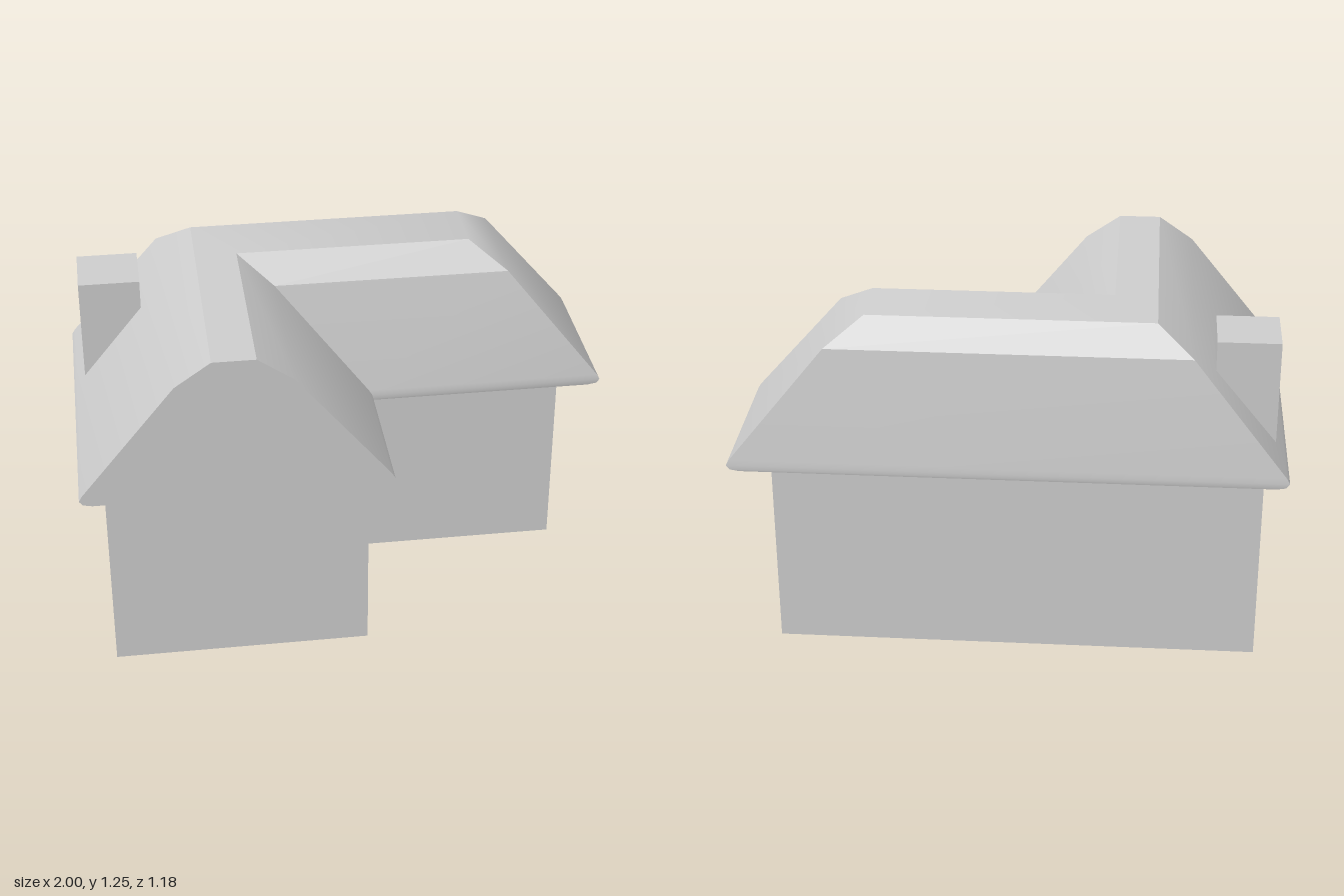
import * as THREE from 'three';
import { toCreasedNormals } from 'three/addons/utils/BufferGeometryUtils.js';

const plaster = new THREE.MeshStandardMaterial({ color: 0xcccccc });
plaster.name = 'plaster grey';

// L-shaped outline, counter-clockwise from above: front-left, front-right,
// inner corner, wing front, wing back, back-left
function outline(left, inner, right, front, valley, back) {
  return [[left, front], [inner, front], [inner, valley],
    [right, valley], [right, back], [left, back]]
    .map(([x, z]) => new THREE.Vector2(x, -z));
}

// Closed shell through a stack of outlines
function loft(rings) {
  const pos = [];
  const put = (ring, i) => pos.push(ring.pts[i].x, ring.y, -ring.pts[i].y);
  for (let r = 0; r < rings.length - 1; r++) {
    const lo = rings[r], hi = rings[r + 1], n = lo.pts.length;
    for (let i = 0; i < n; i++) {
      const j = (i + 1) % n;
      put(lo, i); put(lo, j); put(hi, j);
      put(lo, i); put(hi, j); put(hi, i);
    }
  }
  const first = rings[0], last = rings[rings.length - 1];
  for (const [a, b, c] of THREE.ShapeUtils.triangulateShape(first.pts, [])) {
    put(first, a); put(first, c); put(first, b);
  }
  for (const [a, b, c] of THREE.ShapeUtils.triangulateShape(last.pts, [])) {
    put(last, a); put(last, b); put(last, c);
  }
  const geo = new THREE.BufferGeometry();
  geo.setAttribute('position', new THREE.Float32BufferAttribute(pos, 3));
  return toCreasedNormals(geo, 0.6);
}

export function createModel() {
  const house = new THREE.Group();
  house.name = 'house';
  const add = (name, geo) => {
    const mesh = new THREE.Mesh(geo, plaster);
    mesh.name = name;
    house.add(mesh);
    return mesh;
  };

  // Walls
  const plan = new THREE.Shape(outline(-0.91, 0.025, 0.84, 0.575, 0, -0.575));
  const walls = new THREE.ExtrudeGeometry(plan, { depth: 0.7, bevelEnabled: false });
  walls.rotateX(-Math.PI / 2);
  add('walls', walls);

  // Roof: rounded eaves, steep slope, chamfer and flat ridge
  add('roof', loft([
    { y: 0.695, pts: outline(-0.955, 0.07, 0.955, 0.59, 0.027, -0.588) },
    { y: 0.702, pts: outline(-0.988, 0.104, 0.988, 0.59, 0.029, -0.59) },
    { y: 0.718, pts: outline(-1, 0.118, 1, 0.59, 0.03, -0.59) },
    { y: 0.738, pts: outline(-0.989, 0.106, 0.989, 0.59, 0.028, -0.588) },
    { y: 1.155, pts: outline(-0.65, -0.235, 0.645, 0.59, -0.08, -0.52) },
    { y: 1.245, pts: outline(-0.52, -0.365, 0.51, 0.59, -0.185, -0.42) },
  ]));

  // Chimney, sunk into the left slope
  add('chimney', new THREE.BoxGeometry(0.226, 0.445, 0.23))
    .position.set(-0.843, 0.943, -0.275);

  return house;
}
